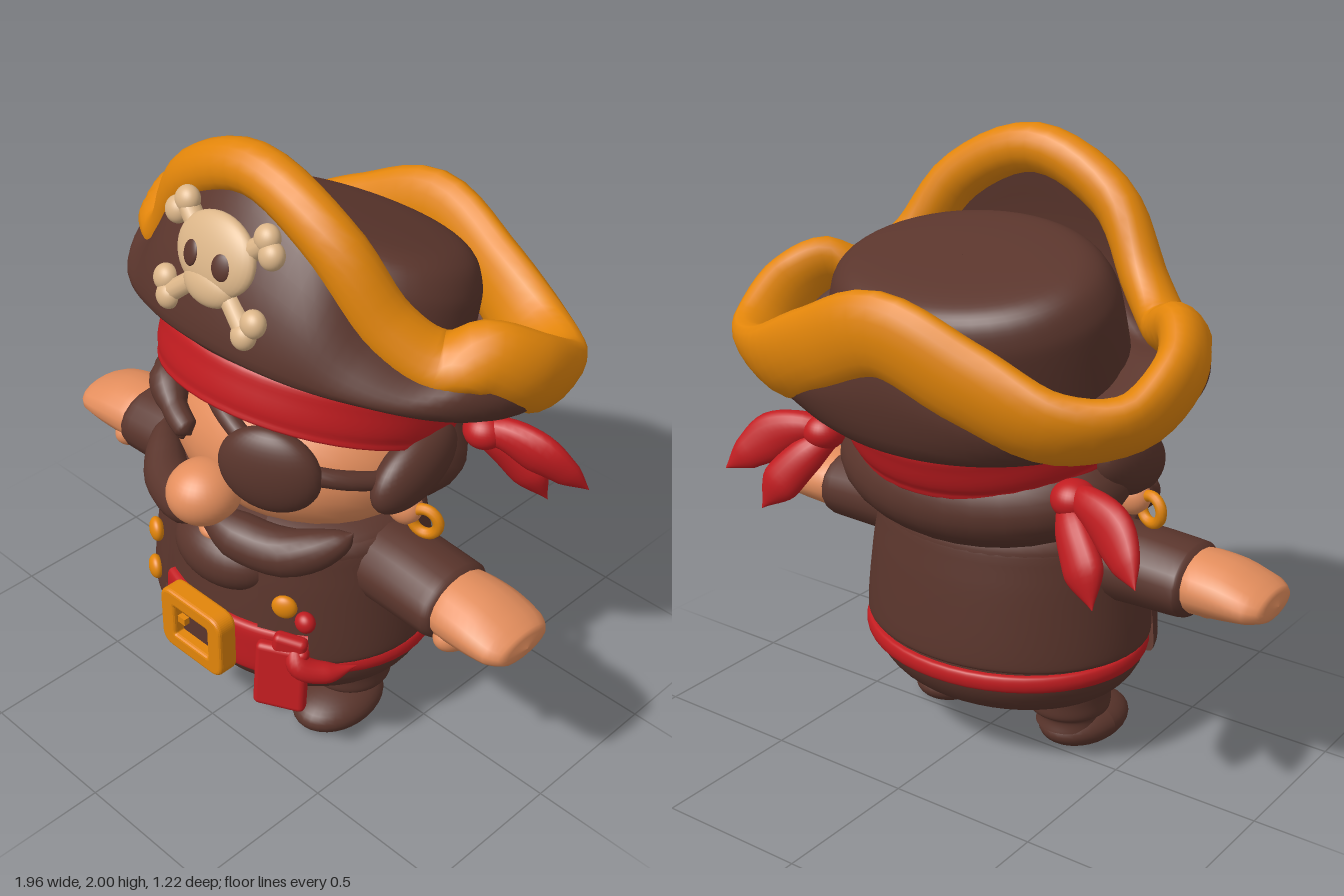
import * as THREE from 'three';
import { RoundedBoxGeometry } from 'three/addons/geometries/RoundedBoxGeometry.js';

const mat = (name, color) => new THREE.MeshStandardMaterial({ name, color, side: THREE.DoubleSide });
const V = (x, y, z) => new THREE.Vector3(x, y, z);

// Smooth surface through rows of points; rows and columns may be closed
function loft(rows, closeRows = false, closeCols = true) {
  const n = rows[0].length, idx = [];
  const R = closeRows ? rows.length : rows.length - 1, C = closeCols ? n : n - 1;
  for (let i = 0; i < R; i++) for (let j = 0; j < C; j++) {
    const a = i * n + j, b = i * n + (j + 1) % n;
    const k = ((i + 1) % rows.length) * n, c = k + j, d = k + (j + 1) % n;
    idx.push(a, b, c, b, d, c);
  }
  const g = new THREE.BufferGeometry().setFromPoints(rows.flat());
  g.setIndex(idx);
  g.computeVertexNormals();
  return g;
}

// Tapered tube with elliptical section: each point is [x, y, z, ry, rz]
function taper(pts, n = 20, seg = 18) {
  const ref = V(0, 0, 1);
  const curve = new THREE.CatmullRomCurve3(pts.map(p => V(p[0], p[1], p[2])));
  const rad = new THREE.CatmullRomCurve3(pts.map(p => V(p[3], p[4] ?? p[3], 0)));
  const rows = [];
  for (let i = 0; i <= n; i++) {
    const t = i / n, c = curve.getPoint(t), T = curve.getTangent(t), r = rad.getPoint(t);
    const up = V(0, 0, 0).crossVectors(ref, T).normalize();
    const side = V(0, 0, 0).crossVectors(T, up).normalize();
    rows.push(Array.from({ length: seg }, (_, j) => {
      const a = j / seg * Math.PI * 2;
      return c.clone().addScaledVector(up, Math.cos(a) * Math.max(r.x, 0.001))
        .addScaledVector(side, -Math.sin(a) * Math.max(r.y, 0.001));
    }));
  }
  return loft(rows);
}

const lathe = (pts, start = 0, len = Math.PI * 2) => {
  const c = new THREE.SplineCurve(pts.map(p => new THREE.Vector2(p[0], p[1])));
  return new THREE.LatheGeometry(c.getPoints(28), 48, start, len);
};

export function createModel() {
  const root = new THREE.Group();
  const brown = mat('dark brown', 0x5a352c), red = mat('red', 0xc11c20), gold = mat('gold', 0xe2850a);
  const skin = mat('skin', 0xe48e5d), bone = mat('bone', 0xdbb588);
  const add = (name, geo, m, pos = [0, 0, 0], rot = [0, 0, 0], scale = [1, 1, 1], parent = root) => {
    const mesh = new THREE.Mesh(geo, m);
    mesh.name = name;
    mesh.position.set(...pos); mesh.rotation.set(...rot); mesh.scale.set(...scale);
    parent.add(mesh);
    return mesh;
  };
  const ball = (name, m, pos, r, rot, parent) =>
    add(name, new THREE.SphereGeometry(1, 32, 22), m, pos, rot, r, parent);

  // Body, coat and belt share a squashed round section
  const squash = [1, 1, 0.83], mid = [0, 0, 0.1];
  add('body', lathe([[0.001, 0.17], [0.28, 0.175], [0.4, 0.21], [0.465, 0.28], [0.485, 0.36], [0.48, 0.5],
    [0.45, 0.7], [0.41, 0.82], [0.001, 0.88]]), brown, mid, [0, 0, 0], squash);
  add('coat', lathe([[0.47, 0.385], [0.495, 0.385], [0.5, 0.42], [0.487, 0.55], [0.465, 0.7], [0.43, 0.81], [0.3, 0.86]],
    0.43, Math.PI * 2 - 0.86), brown, mid, [0, 0, 0], squash);
  add('coatFlap', lathe([[0.48, 0.35], [0.518, 0.355], [0.52, 0.42], [0.505, 0.55], [0.475, 0.72], [0.44, 0.8]],
    -1.35, 0.93), brown, mid, [0, 0, 0], squash);
  add('beltBand', lathe([[0.47, 0.325], [0.492, 0.33], [0.5, 0.355], [0.492, 0.38], [0.47, 0.385]]), red, mid, [-0.03, 0, 0], squash);
  add('frontBelt', lathe([[0.46, 0.31], [0.505, 0.32], [0.512, 0.41], [0.505, 0.49], [0.46, 0.5]], -0.42, 1.2),
    red, mid, [0, 0, 0], squash);

  // Buckle: rounded frame with a hole
  const rounded = (T, w, h, r) => {
    const s = new T();
    s.moveTo(-w + r, -h);
    s.lineTo(w - r, -h); s.quadraticCurveTo(w, -h, w, -h + r);
    s.lineTo(w, h - r); s.quadraticCurveTo(w, h, w - r, h);
    s.lineTo(-w + r, h); s.quadraticCurveTo(-w, h, -w, h - r);
    s.lineTo(-w, -h + r); s.quadraticCurveTo(-w, -h, -w + r, -h);
    return s;
  };
  const frame = rounded(THREE.Shape, 0.13, 0.105, 0.04);
  frame.holes.push(rounded(THREE.Path, 0.09, 0.07, 0.02));
  add('buckle', new THREE.ExtrudeGeometry(frame, { depth: 0.05, bevelSize: 0.012, bevelThickness: 0.012, bevelSegments: 3 }),
    gold, [0, 0.41, 0.515]);
  add('buckleCentre', new THREE.BoxGeometry(0.19, 0.15, 0.008), brown, [0, 0.41, 0.533]);
  add('bucklePin', new THREE.BoxGeometry(0.05, 0.025, 0.02), gold, [-0.07, 0.41, 0.55]);

  // Buttons and sash cloth
  for (const [x, y, z] of [[-0.29, 0.6, 0.455], [-0.29, 0.45, 0.468], [0.29, 0.61, 0.435]])
    ball('button', gold, [x, y, z], [0.041, 0.041, 0.024], [0, x * 1.7, 0]);
  ball('sashKnot', red, [0.35, 0.565, 0.405], [0.035, 0.035, 0.03]);
  add('sashCloth', new RoundedBoxGeometry(0.17, 0.235, 0.05, 3, 0.02), red, [0.315, 0.37, 0.477], [-0.12, 0.5, 0.03]);
  add('sashFold', new RoundedBoxGeometry(0.11, 0.13, 0.05, 3, 0.02), red, [0.325, 0.46, 0.455], [-0.05, 0.55, -0.15]);
  add('sashTail', taper([[0.33, 0.5, 0.43, 0.02], [0.37, 0.43, 0.45, 0.04], [0.43, 0.4, 0.39, 0.035], [0.48, 0.41, 0.31, 0]]), red);

  // Beard and head
  ball('beard', brown, [0, 0.67, 0.4], [0.2, 0.12, 0.14]);
  ball('mouth', skin, [0, 0.765, 0.42], [0.07, 0.035, 0.08]);
  ball('face', skin, [0, 1.01, 0.05], [0.46, 0.31, 0.4]);
  ball('hair', brown, [0, 0.99, -0.03], [0.52, 0.22, 0.37], [-0.25, 0, 0]);
  ball('nose', skin, [0, 0.93, 0.49], [0.115, 0.102, 0.12]);
  ball('eye', brown, [-0.2, 1.05, 0.405], [0.055, 0.06, 0.03], [0, -0.45, 0]);
  add('eyebrow', taper([[-0.345, 1.19, 0.32, 0.02], [-0.31, 1.175, 0.355, 0.042], [-0.2, 1.115, 0.425, 0.042],
    [-0.12, 1.085, 0.45, 0.038], [-0.095, 1.07, 0.45, 0]]), brown);
  ball('eyePatch', brown, [0.22, 1.09, 0.42], [0.165, 0.145, 0.07], [0, 0.4, 0]);
  add('patchStrap', taper([[-0.13, 1.25, 0.36, 0.03], [0.05, 1.2, 0.43, 0.03], [0.22, 1.12, 0.42, 0.03],
    [0.38, 1.08, 0.31, 0.03], [0.48, 1.02, 0.1, 0.03]]), brown);

  // Paired parts
  for (const s of [1, -1]) {
    const side = pts => pts.map(([x, ...r]) => [x * s, ...r]);
    add('moustache', taper(side([[-0.03, 0.83, 0.47, 0.02], [0.03, 0.84, 0.48, 0.045], [0.14, 0.81, 0.46, 0.078],
      [0.27, 0.8, 0.41, 0.077], [0.36, 0.83, 0.345, 0.062], [0.41, 0.865, 0.3, 0.035], [0.43, 0.89, 0.28, 0]])), brown);
    ball('sideburn', brown, [0.475 * s, 1.05, 0.07], [0.075, 0.11, 0.18], [0.35, 0, 0]);
    ball('ear', skin, [0.47 * s, 0.92, 0.1], [0.06, 0.06, 0.05]);
    add('earring', new THREE.TorusGeometry(0.044, 0.018, 12, 28), gold, [0.545 * s, 0.895, 0.09], [0, 0.3 * s, 0]);
    add('sleeve', taper(side([[0.3, 0.69, 0.1, 0.13, 0.15], [0.5, 0.695, 0.11, 0.128, 0.15], [0.69, 0.69, 0.115, 0.118, 0.15],
      [0.715, 0.69, 0.115, 0.1, 0.13], [0.715, 0.69, 0.115, 0, 0]])), brown);
    add('hand', taper(side([[0.67, 0.69, 0.115, 0.08, 0.1], [0.72, 0.695, 0.115, 0.1, 0.135], [0.82, 0.695, 0.115, 0.09, 0.142],
      [0.92, 0.685, 0.115, 0.065, 0.135], [0.967, 0.68, 0.115, 0.045, 0.1], [0.98, 0.68, 0.115, 0, 0]])), skin);
    ball('thumb', skin, [0.745 * s, 0.63, 0.15], [0.058, 0.06, 0.095], [0, 0, 0.3 * s]);
    add('leg', lathe([[0.11, 0.06], [0.105, 0.1], [0.135, 0.125], [0.14, 0.18], [0.15, 0.27]]), brown, [0.25 * s, 0, 0.1]);
    const foot = new THREE.SphereGeometry(1, 32, 20), p = foot.attributes.position;
    for (let i = 0; i < p.count; i++) p.setY(i, Math.max(p.getY(i), -0.6));
    foot.computeVertexNormals();
    add('foot', foot, brown, [0.265 * s, 0.045, 0.17], [0, 0.08 * s, 0], [0.132, 0.075, 0.18]);
    ball('bandanaKnot', red, [0.48 * s, 1.03, -0.25], [0.07, 0.06, 0.07]);
    add('upperTail', taper(side([[0.44, 1.02, -0.22, 0.03], [0.54, 1.035, -0.27, 0.055, 0.045], [0.65, 0.995, -0.31, 0.08, 0.045],
      [0.73, 0.93, -0.36, 0.055, 0.03], [0.785, 0.88, -0.4, 0]])), red);
    add('lowerTail', taper(side([[0.45, 1.02, -0.24, 0.03], [0.51, 0.96, -0.3, 0.06, 0.045], [0.58, 0.87, -0.35, 0.07, 0.045],
      [0.64, 0.77, -0.39, 0]])), red);
  }

  // Bandana, tilted to the back like the hat
  add('bandana', lathe([[0.001, -0.05], [0.44, -0.09], [0.495, -0.06], [0.505, 0.02], [0.495, 0.08], [0.4, 0.1]]),
    red, [0, 1.2, 0.025], [-0.32, 0, 0], [1, 1, 0.93]);

  // Hat: crown, folded brim and gold rim
  const hat = new THREE.Group();
  hat.name = 'hat';
  root.add(hat);
  add('crown', lathe([[0.001, 0.2], [0.3, 0.195], [0.42, 0.17], [0.475, 0.1], [0.49, 0], [0.49, -0.25]]),
    brown, [0, 1.475, -0.08], [-0.31, 0, 0], [1, 1, 0.74], hat);

  const half = [[0.29, 1.80, 0.235], [0.45, 1.575, 0.175], [0.57, 1.48, 0.1], [0.675, 1.5, 0.01], [0.735, 1.43, -0.11],
    [0.69, 1.32, -0.28], [0.52, 1.305, -0.42], [0.27, 1.41, -0.5]];
  const rimCurve = new THREE.CatmullRomCurve3([[0, 1.925, 0.245], ...half, [0, 1.51, -0.535],
    ...half.slice().reverse().map(([x, y, z]) => [-x, y, z])].map(q => V(...q)), true);
  const plane = z => 1.27 + 0.33 * z;
  const brimRows = [], rimRows = [], N = 96;
  for (let i = 0; i < N; i++) {
    const rim = rimCurve.getPoint(i / N), a = Math.atan2(rim.x / 0.76, (rim.z + 0.15) / 0.4);
    const oval = (rx, rz, cz, dy) => {
      const z = cz + rz * Math.cos(a);
      return V(rx * Math.sin(a), plane(z) + dy, z);
    };
    const base = oval(0.46, 0.43, 0.02, 0), low = oval(0.71, 0.485, -0.01, 0.03);
    const floor = oval(0.5, 0.36, -0.1, 0.1);
    const up = rim.clone().sub(low), bulge = low.clone().addScaledVector(up, 0.5);
    bulge.add(V(0.045 * Math.sin(a), 0, 0.045 * Math.cos(a)));
    const inner = floor.clone().lerp(rim, 0.5).add(V(0.03 * Math.sin(a), -0.03, 0.02 * Math.cos(a)));
    brimRows.push(new THREE.CatmullRomCurve3([base, low, bulge, rim, inner, floor]).getPoints(22));
    // Rim section: tall along the flap, thin across it, wider at the sides and back
    const along = up.clone().normalize(), T = rimCurve.getTangent(i / N);
    const across = V(0, 0, 0).crossVectors(T, along).normalize();
    along.crossVectors(across, T).normalize();
    const h = 0.08 + 0.055 * (1 - Math.cos(a)) / 2 + 0.015 * Math.sin(a) ** 2;
    rimRows.push(Array.from({ length: 18 }, (_, j) => {
      const b = j / 18 * Math.PI * 2;
      return rim.clone().addScaledVector(along, h * Math.cos(b)).addScaledVector(across, 0.072 * Math.sin(b));
    }));
  }
  add('brim', loft(brimRows, true, false), brown, [0, 0, 0], [0, 0, 0], [1, 1, 1], hat);
  add('goldRim', loft(rimRows, true), gold, [0, 0, 0], [0, 0, 0], [1, 1, 1], hat);

  // Skull and crossed bones emblem
  const skull = new THREE.Group();
  skull.name = 'skullEmblem';
  skull.position.set(0, 1.685, 0.415);
  skull.rotation.x = -0.33;
  root.add(skull);
  ball('skullHead', bone, [0, 0.035, 0], [0.155, 0.122, 0.045], [0, 0, 0], skull);
  ball('skullJaw', bone, [0, -0.055, 0], [0.1, 0.065, 0.042], [0, 0, 0], skull);
  for (const s of [1, -1]) {
    ball('skullEye', brown, [0.065 * s, 0.02, 0.033], [0.036, 0.042, 0.014], [0, 0.25 * s, 0], skull);
    add('crossBone', new THREE.CapsuleGeometry(0.033, 0.42, 6, 12), bone, [0, -0.01, -0.015], [0, 0, 0.88 * s], [1, 1, 1], skull);
    for (const [x, y] of [[0.195, 0.1], [0.165, 0.14], [0.185, -0.105], [0.16, -0.15]])
      ball('boneEnd', bone, [x * s, y, -0.01], [0.042, 0.042, 0.034], [0, 0, 0], skull);
  }
  return root;
}
